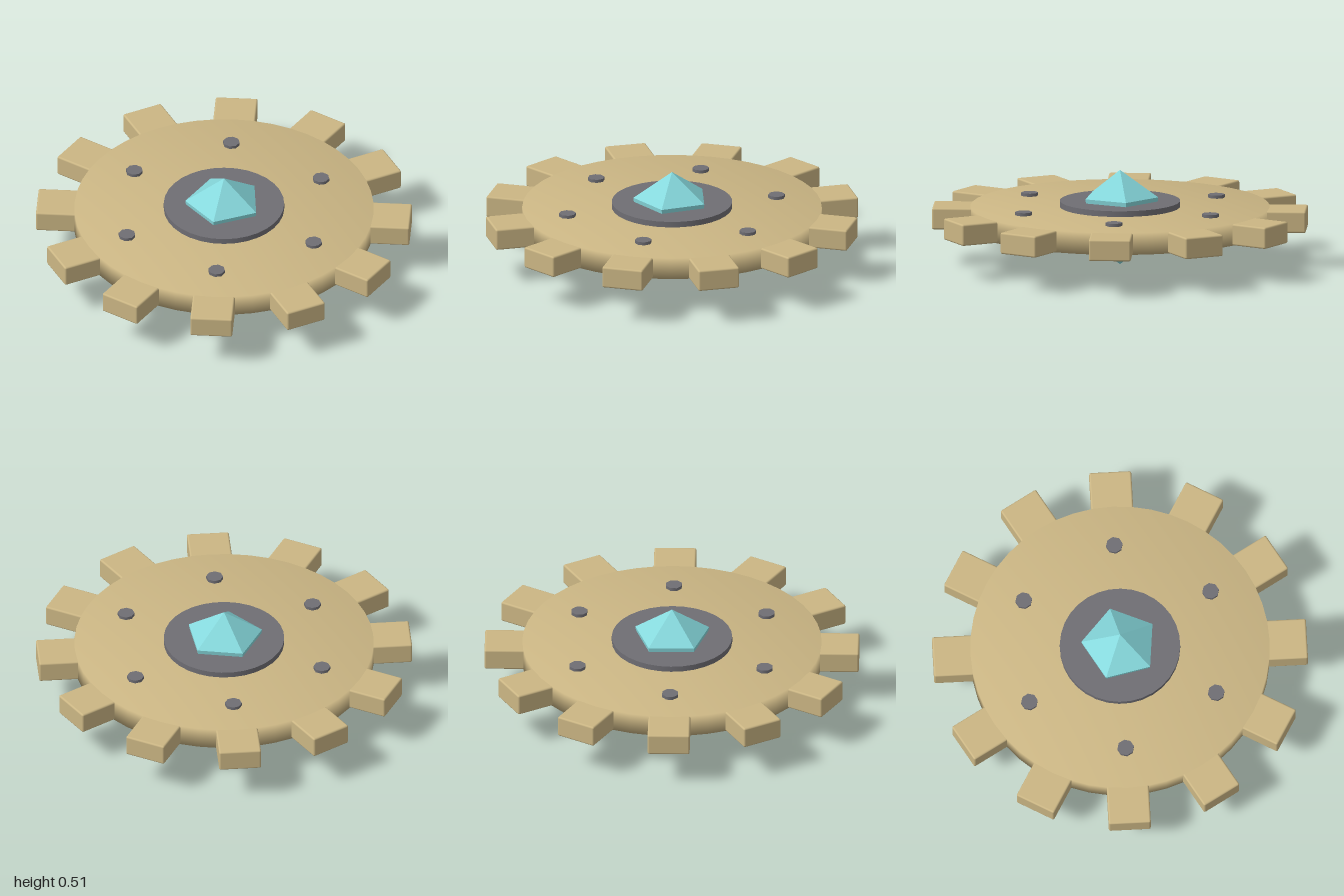
import * as THREE from 'three';
import { mergeVertices } from 'three/addons/utils/BufferGeometryUtils.js';
import { RoundedBoxGeometry } from 'three/addons/geometries/RoundedBoxGeometry.js';

const MID = 0.256; // height of the wheel's middle plane

export function createModel() {
  const brass = new THREE.MeshStandardMaterial({ color: 0xcbb684 });
  brass.name = 'brass';
  const steel = new THREE.MeshStandardMaterial({ color: 0x6f6e74 });
  steel.name = 'steel';
  const crystal = new THREE.MeshStandardMaterial({ color: 0x86d8dc, flatShading: true });
  crystal.name = 'crystal';

  const model = new THREE.Group();
  model.name = 'gear';
  const add = (name, geometry, material, parent = model) => {
    const mesh = new THREE.Mesh(geometry, material);
    mesh.name = name;
    parent.add(mesh);
    return mesh;
  };

  // Disc with normals blended softly over its rim
  let discGeo = new THREE.CylinderGeometry(0.8, 0.8, 0.118, 48);
  discGeo.deleteAttribute('normal');
  discGeo.deleteAttribute('uv');
  discGeo = mergeVertices(discGeo, 1e-4);
  discGeo.computeVertexNormals();
  add('disc', discGeo, brass).position.y = MID;

  // Twelve teeth with slightly softened edges
  const toothGeo = new RoundedBoxGeometry(0.28, 0.116, 0.225, 2, 0.01);
  toothGeo.translate(0.86, 0, 0);
  for (let i = 0; i < 12; i++) {
    const tooth = add('tooth', toothGeo, brass);
    tooth.position.y = MID;
    tooth.rotation.y = (i * Math.PI) / 6;
  }

  // Central hub plate
  add('hub', new THREE.CylinderGeometry(0.322, 0.322, 0.18, 32), steel).position.y = MID;

  // Six rivets passing through the disc
  const rivetGeo = new THREE.CylinderGeometry(0.045, 0.045, 0.152, 8);
  rivetGeo.rotateY(Math.PI / 8);
  for (let i = 0; i < 6; i++) {
    const a = (i * Math.PI) / 3;
    add('rivet', rivetGeo, steel).position.set(0.577 * Math.cos(a), MID, 0.577 * Math.sin(a));
  }

  // Five-sided crystals, the lower one turned half round
  for (const [name, turn] of [['upperCrystal', 0], ['lowerCrystal', Math.PI]]) {
    const gem = new THREE.Group();
    gem.name = name;
    gem.position.y = MID;
    gem.rotation.z = turn;
    const point = new THREE.ConeGeometry(0.207, 0.143, 5, 1, true, Math.PI / 2);
    add('crystalPoint', point, crystal, gem).position.y = 0.113 + 0.0715;
    const base = new THREE.CylinderGeometry(0.207, 0.2, 0.053, 5, 1, true, Math.PI / 2);
    add('crystalBase', base, crystal, gem).position.y = 0.0865;
    model.add(gem);
  }

  return model;
}
